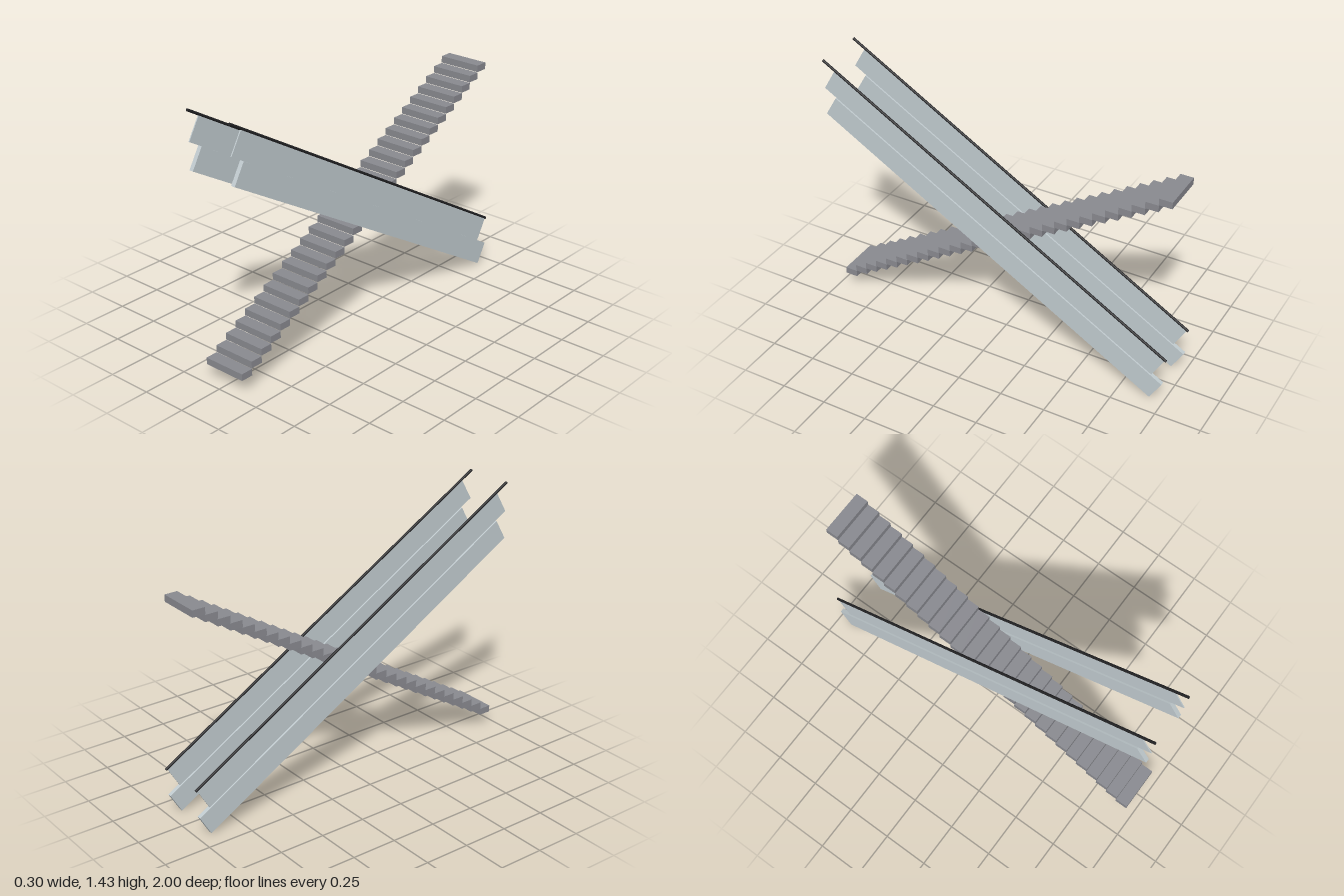
import * as THREE from 'three';

const SLOPE = Math.atan(0.586);

function addMesh(parent, name, geometry, material, x, y, z) {
  const mesh = new THREE.Mesh(geometry, material);
  mesh.name = name;
  mesh.position.set(x, y, z);
  parent.add(mesh);
  return mesh;
}

export function createModel() {
  const model = new THREE.Group();
  model.name = 'escalator';

  const stepGrey = new THREE.MeshStandardMaterial({ color: 0x88898f });
  stepGrey.name = 'step grey';
  const panelGrey = new THREE.MeshStandardMaterial({ color: 0xc0cace });
  panelGrey.name = 'pale panel grey';
  const railBlack = new THREE.MeshStandardMaterial({ color: 0x222224 });
  railBlack.name = 'handrail black';

  // Flight of steps rising towards the back
  const steps = new THREE.Group();
  steps.name = 'steps';
  model.add(steps);
  const count = 28;
  const stepGeometry = new THREE.BoxGeometry(0.244, 0.037, 0.07);
  for (let i = 0; i < count; i++) {
    addMesh(steps, `step${i + 1}`, stepGeometry, stepGrey, 0, 0.096 + i * 0.0401, 0.926 - i * 0.0685);
  }

  // Sloping side walls rising towards the front; local y = 0 is the skirt's top
  const skirtGeometry = new THREE.BoxGeometry(0.023, 0.124, 2.214);
  const panelGeometry = new THREE.BoxGeometry(0.006, 0.134, 2.22);
  const railGeometry = new THREE.CylinderGeometry(0.007, 0.007, 2.309, 16).rotateX(Math.PI / 2);
  for (const side of [1, -1]) {
    const wall = new THREE.Group();
    wall.name = side > 0 ? 'leftBalustrade' : 'rightBalustrade';
    wall.position.set(side * 0.1365, 0.684, 0);
    wall.rotation.x = -SLOPE;
    model.add(wall);
    addMesh(wall, 'skirt', skirtGeometry, panelGrey, 0, -0.062, -0.033);
    addMesh(wall, 'upperPanel', panelGeometry, panelGrey, 0, 0.067, 0.043);
    addMesh(wall, 'handrail', railGeometry, railBlack, 0, 0.136, 0.0805);
  }

  return model;
}
